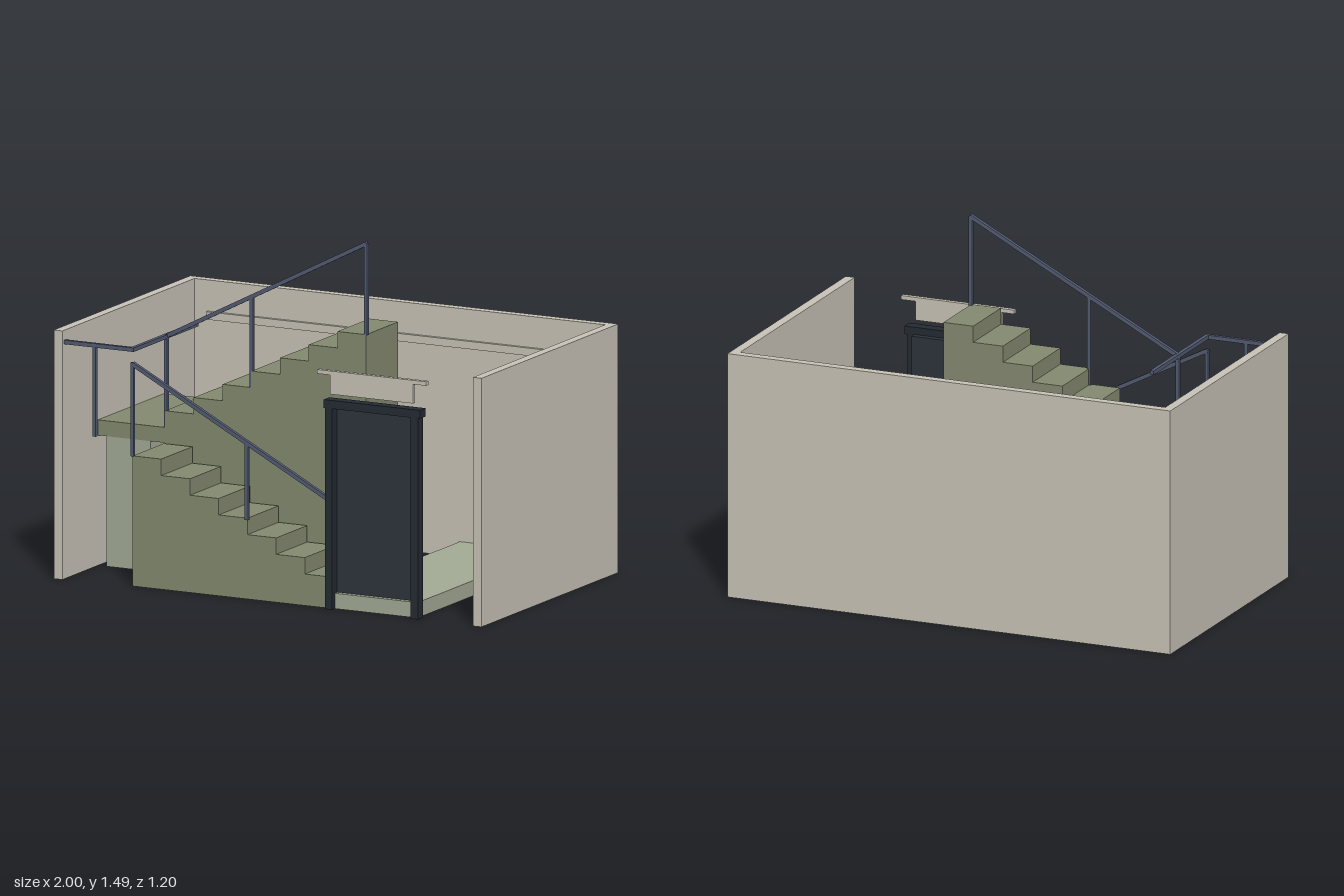
import * as THREE from 'three';

const mat = (name, color) => {
  const m = new THREE.MeshStandardMaterial({ color });
  m.name = name;
  return m;
};

export function createModel() {
  const group = new THREE.Group();
  const plaster = mat('plaster', 0xc9c4b8);
  const stairGreen = mat('stair green', 0x848a70);
  const paleGreen = mat('pale green', 0xa4ab95);
  const railBlue = mat('rail blue', 0x535b72);
  const doorDark = mat('door dark', 0x2d343b);
  const frameDark = mat('frame dark', 0x252b33);

  const add = (name, geometry, material) => {
    const mesh = new THREE.Mesh(geometry, material);
    mesh.name = name;
    group.add(mesh);
    return mesh;
  };

  // Box given by its low and high limits on each axis
  const box = (name, material, [x0, x1], [y0, y1], [z0, z1]) => {
    const mesh = add(name, new THREE.BoxGeometry(x1 - x0, y1 - y0, z1 - z0), material);
    mesh.position.set((x0 + x1) / 2, (y0 + y1) / 2, (z0 + z1) / 2);
  };

  // Square bar between two points
  const bar = (name, a, b, t = 0.017) => {
    const from = new THREE.Vector3(...a), to = new THREE.Vector3(...b);
    const mesh = add(name, new THREE.BoxGeometry(t, t, from.distanceTo(to)), railBlue);
    mesh.position.copy(from).add(to).multiplyScalar(0.5);
    mesh.lookAt(to);
  };

  // Solid flight of seven steps, extruded across its width
  const x0 = -0.645, run = 0.1343, rise = 0.0695, steps = 7;
  const flight = (name, firstTop, dir, z0, z1) => {
    const shape = new THREE.Shape();
    shape.moveTo(x0, 0);
    for (let i = 0; i < steps; i++) {
      const y = firstTop + dir * i * rise;
      shape.lineTo(x0 + i * run, y);
      shape.lineTo(x0 + (i + 1) * run, y);
    }
    shape.lineTo(x0 + steps * run, 0);
    const geo = new THREE.ExtrudeGeometry(shape, { depth: z1 - z0, bevelEnabled: false });
    add(name, geo.translate(0, 0, z0), stairGreen);
  };

  // Walls
  box('backWall', plaster, [-1, 1], [0, 1.05], [-0.6, -0.56]);
  box('rightWall', plaster, [-1, -0.96], [0, 1.05], [-0.56, 0.6]);
  box('leftWall', plaster, [0.96, 1], [0, 1.05], [-0.56, 0.6]);
  box('wallTrim', plaster, [-0.895, 0.89], [0.887, 0.92], [-0.555, -0.54]);

  // Stairs, landing and entrance floor
  flight('lowerFlight', 0.55, -1, 0.302, 0.575);
  flight('upperFlight', 0.686, 1, 0.008, 0.29);
  box('landing', stairGreen, [-0.96, -0.645], [0.55, 0.615], [-0.295, 0.288]);
  box('landingSupport', paleGreen, [-0.92, -0.715], [0, 0.55], [0, 0.286]);
  box('entranceFloor', paleGreen, [0.28, 0.685], [0, 0.065], [-0.56, 0.57]);

  // Handrails
  const zOut = 0.577, zIn = 0.281, xr = -0.643;
  bar('landingRail', [-0.96, 1, zOut], [xr + 0.008, 1, zOut]);
  bar('crossRail', [xr, 1, 0.015], [xr, 1, 0.585]);
  bar('lowerRail', [xr, 0.94, zOut], [0.285, 0.455, zOut]);
  bar('upperRail', [xr, 1, zIn], [0.295, 1.487, zIn]);

  // Rail posts: x, foot, top, z
  [
    [-0.82, 0.615, 1, zOut],
    [xr, 0.55, 0.945, zOut],
    [-0.108, 0.335, 0.66, zOut],
    [xr, 0.615, 1, zIn],
    [-0.243, 0.825, 1.205, zIn],
    [0.292, 1.1, 1.487, zIn],
  ].forEach(([x, y0, y1, z]) => bar('railPost', [x, y0, z], [x, y1, z], 0.015));

  // Door, frame and canopy
  box('door', doorDark, [0.297, 0.668], [0.06, 0.855], [0.52, 0.547]);
  box('doorJamb', frameDark, [0.266, 0.299], [0, 0.855], [0.552, 0.595]);
  box('doorJamb', frameDark, [0.666, 0.7], [0, 0.855], [0.552, 0.595]);
  box('doorLintel', frameDark, [0.262, 0.712], [0.85, 0.885], [0.55, 0.6]);
  box('signPanel', plaster, [0.285, 0.675], [0.908, 0.99], [0.575, 0.589]);
  box('signCap', plaster, [0.228, 0.738], [0.99, 1.007], [0.572, 0.593]);

  return group;
}
